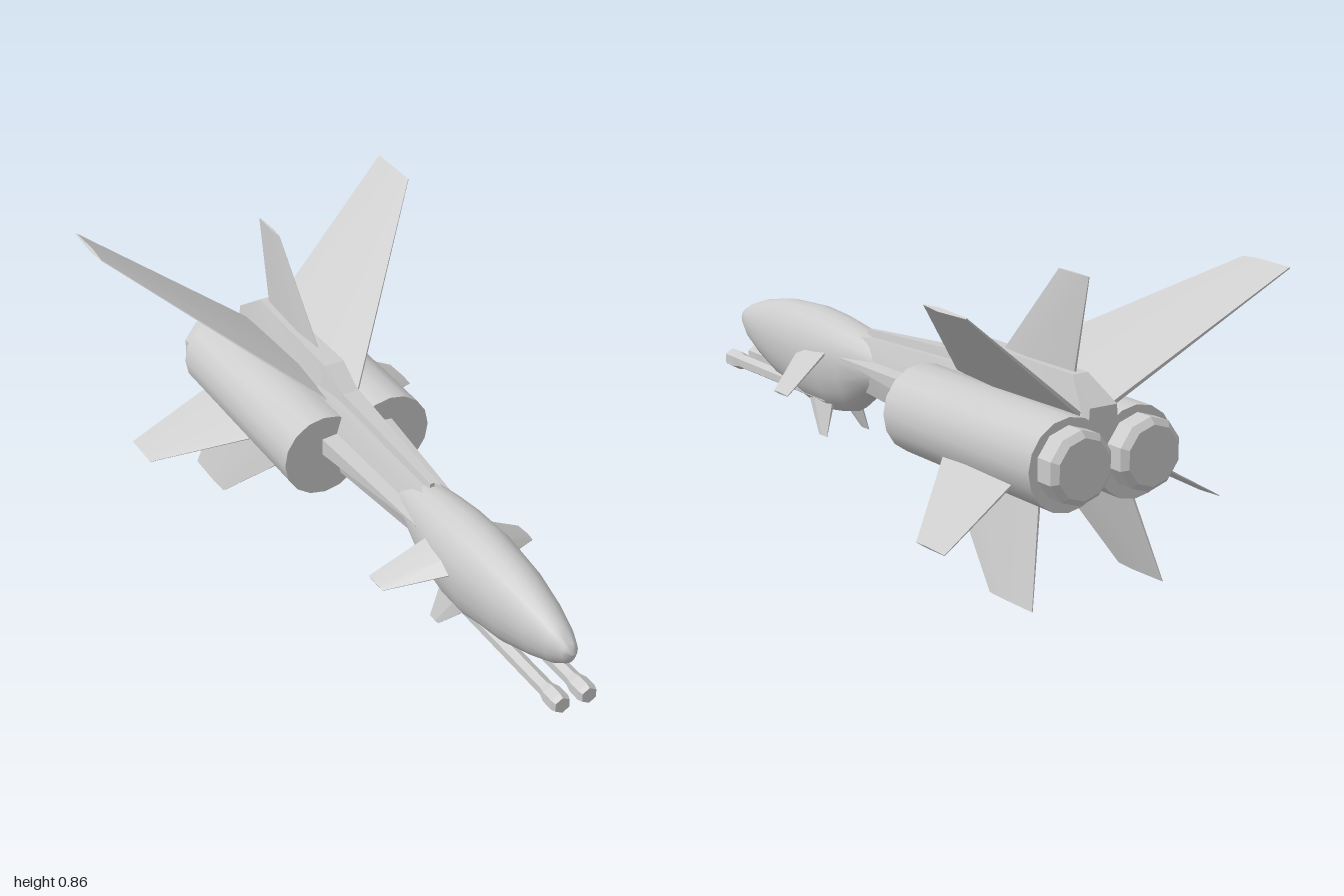
import * as THREE from 'three';
import { toCreasedNormals } from 'three/addons/utils/BufferGeometryUtils.js';

const material = new THREE.MeshStandardMaterial({ color: 0xcccccc });

function add(parent, name, geometry, crease = 0.6) {
  const mesh = new THREE.Mesh(toCreasedNormals(geometry, crease), material);
  mesh.name = name;
  parent.add(mesh);
  return mesh;
}

// Skin a closed solid over equal-length rings of [x, y, z] points
function loft(rings) {
  const n = rings[0].length, last = (rings.length - 1) * n;
  const p = rings.flat();
  let tris = [];
  for (let i = 0; i < rings.length - 1; i++) {
    for (let j = 0; j < n; j++) {
      const a = i * n + j, b = i * n + (j + 1) % n;
      tris.push([a, a + n, b], [b, a + n, b + n]);
    }
  }
  for (let j = 1; j < n - 1; j++) tris.push([0, j, j + 1], [last, last + j + 1, last + j]);
  // Turn the faces outward whichever way the rings run
  const v = p.map((q) => new THREE.Vector3(...q));
  const c = v.reduce((s, q) => s.add(q), new THREE.Vector3()).divideScalar(v.length);
  v.forEach((q) => q.sub(c));
  const volume = tris.reduce((s, [i, j, k]) => s + v[i].dot(v[j].clone().cross(v[k])), 0);
  if (volume < 0) tris = tris.map(([i, j, k]) => [i, k, j]);
  const g = new THREE.BufferGeometry();
  g.setAttribute('position', new THREE.Float32BufferAttribute(p.flat(), 3));
  g.setIndex(tris.flat());
  return g;
}

// Tapered blade: each end is [x, y, leading z, trailing z, half thickness]
function blade(root, tip, side = 1) {
  const dx = tip[0] - root[0], dy = tip[1] - root[1], len = Math.hypot(dx, dy);
  const nx = -dy / len, ny = dx / len;
  return loft([root, tip].map(([x, y, lead, trail, t, trailY = y]) => {
    const at = (f, h) => [side * (x + nx * h), y + (trailY - y) * f + ny * h, lead + (trail - lead) * f];
    return [at(0, 0.15 * t), at(0.35, t), at(1, 0.3 * t), at(1, -0.3 * t), at(0.35, -t), at(0, -0.15 * t)];
  }));
}

// Solid of revolution along z from [radius, z] points listed from back to front
function turned(points, sides) {
  const g = new THREE.LatheGeometry(points.map(([r, z]) => new THREE.Vector2(r, z)), sides);
  return g.rotateX(Math.PI / 2);
}

export function createModel() {
  const model = new THREE.Group();
  model.name = 'spacecraft';

  // Egg-section nose: [z, half width, top, widest height, bottom]
  const stations = [
    [0.98, 0.006, 0.417, 0.41, 0.403], [0.96, 0.025, 0.437, 0.41, 0.372],
    [0.91, 0.045, 0.463, 0.408, 0.338], [0.83, 0.065, 0.49, 0.405, 0.305],
    [0.7, 0.086, 0.518, 0.402, 0.262], [0.52, 0.1, 0.53, 0.4, 0.225],
    [0.4, 0.097, 0.524, 0.4, 0.223], [0.3, 0.086, 0.512, 0.405, 0.245],
    [0.2, 0.07, 0.495, 0.41, 0.318], [0.06, 0.045, 0.46, 0.415, 0.37],
  ];
  add(model, 'noseBody', loft(stations.map(([z, w, top, mid, bottom]) => {
    const ring = [];
    for (let i = 0; i < 20; i++) {
      const a = (i / 20) * Math.PI * 2, s = Math.sin(a);
      ring.push([w * Math.cos(a), mid + s * (s > 0 ? top - mid : mid - bottom), z]);
    }
    return ring;
  })), 0.9);

  // Neck joining nose and engines: [z, top half width, top, bottom half width, bottom]
  const neck = [[0.28, 0.03, 0.49, 0.035, 0.335], [-0.35, 0.05, 0.53, 0.065, 0.3]];
  add(model, 'neck', loft(neck.map(([z, tw, top, bw, bottom]) => [
    [bw, bottom, z], [bw + 0.02, 0.4, z], [bw + 0.01, 0.45, z], [tw, top, z],
    [-tw, top, z], [-bw - 0.01, 0.45, z], [-bw - 0.02, 0.4, z], [-bw, bottom, z],
  ])), 0.3);

  // Dorsal spine: [z, base half width, base, top half width, top]
  const spine = [
    [0.24, 0.012, 0.48, 0.006, 0.513], [-0.24, 0.035, 0.48, 0.025, 0.55],
    [-0.34, 0.058, 0.48, 0.032, 0.597], [-0.78, 0.055, 0.46, 0.025, 0.597],
    [-0.88, 0.05, 0.44, 0.045, 0.53],
  ];
  add(model, 'dorsalSpine', loft(spine.map(([z, bw, base, tw, top]) => [
    [bw, base, z], [tw, top, z], [-tw, top, z], [-bw, base, z],
  ])), 0.2);

  add(model, 'tailFin', blade([0, 0.56, -0.41, -0.75, 0.012], [0, 0.862, -0.68, -0.81, 0.004]), 0.2);

  for (const side of [1, -1]) {
    const half = new THREE.Group();
    half.name = side > 0 ? 'leftSide' : 'rightSide';
    model.add(half);

    // Strake widening along the neck into the engine
    add(half, 'strake', loft([[0.29, 0.082, 0.437, 0.425], [-0.22, 0.118, 0.455, 0.39]].map(
      ([z, x, top, bottom]) => [
        [side * 0.02, bottom, z], [side * x, bottom, z], [side * x, top - 0.01, z], [side * 0.02, top, z],
      ])), 0.2);

    // Engine drum and its stepped nozzle
    const engine = add(half, 'engine', turned([[0, -0.88], [0.13, -0.88], [0.13, -0.2], [0, -0.2]], 16));
    engine.position.set(side * 0.111, 0.388, 0);
    const nozzle = add(half, 'nozzle', turned(
      [[0, -0.952], [0.085, -0.952], [0.103, -0.935], [0.103, -0.87], [0, -0.87]], 10), 0.3);
    nozzle.position.set(side * 0.114, 0.394, 0);

    // Wings and fins, each running from a buried root to its tip
    add(half, 'mainWing', blade([0.03, 0.495, -0.265, -0.83, 0.02], [0.523, 0.857, -0.815, -1, 0.006], side), 0.2);
    add(half, 'sideFin', blade([0.13, 0.382, -0.38, -0.77, 0.012], [0.46, 0.19, -0.69, -0.82, 0.004], side), 0.2);
    add(half, 'ventralFin', blade([0.137, 0.32, -0.33, -0.795, 0.013], [0.219, 0.004, -0.685, -0.875, 0.004], side), 0.2);
    add(half, 'canard', blade([0.07, 0.41, 0.525, 0.358, 0.012, 0.435], [0.245, 0.325, 0.39, 0.312, 0.004], side), 0.2);
    add(half, 'chinFin', blade([0.045, 0.27, 0.52, 0.375, 0.014], [0.076, 0.16, 0.41, 0.365, 0.002], side), 0.2);

    // Gun barrel with a hexagonal muzzle
    const gun = add(half, 'gun', turned([
      [0, 0.4], [0.023, 0.4], [0.023, 0.92], [0.03, 0.945], [0.03, 0.985], [0.025, 1], [0, 1],
    ], 6), 0.2);
    gun.position.set(side * 0.042, 0.273, 0);
  }
  return model;
}
